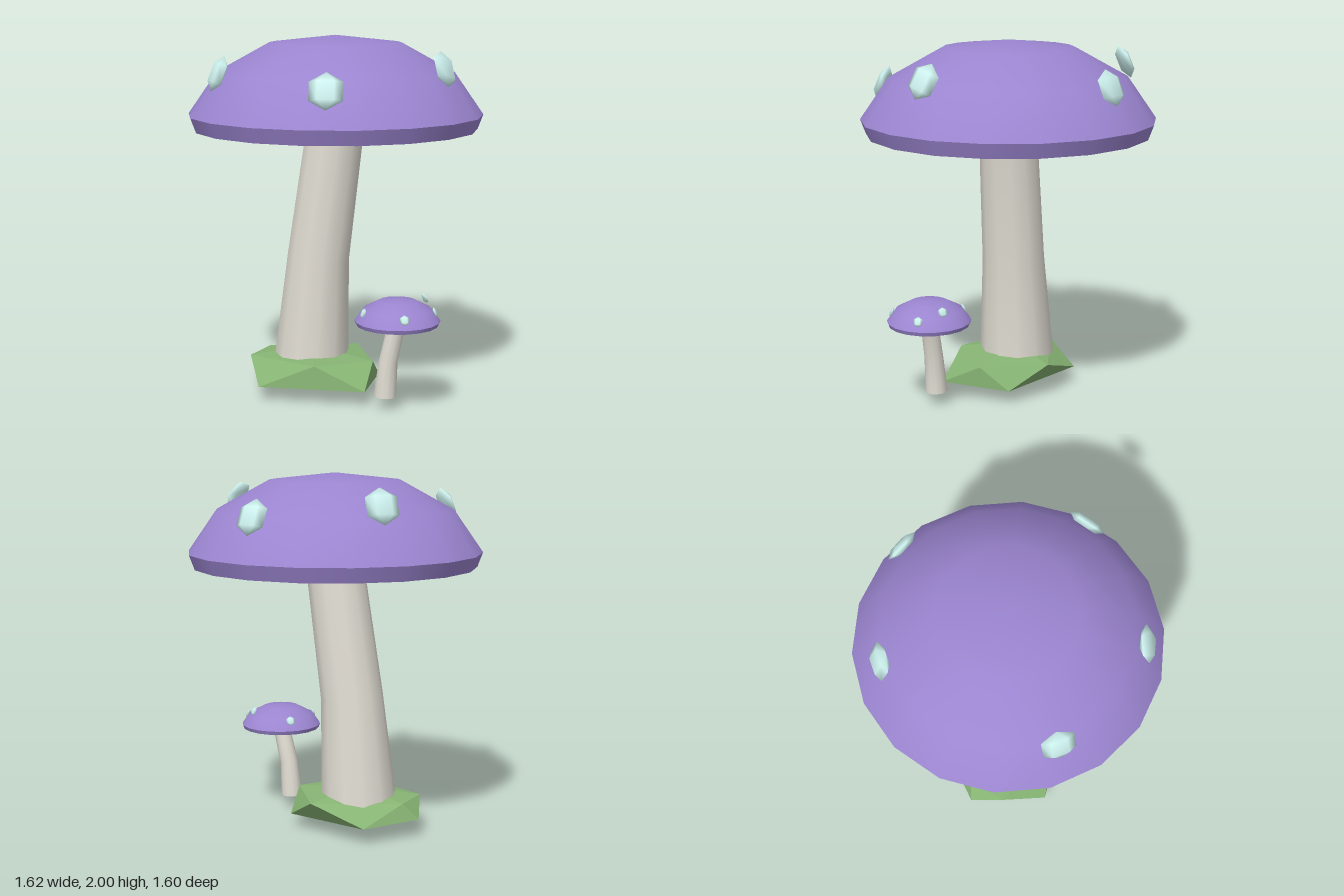
import * as THREE from 'three';

const mat = (color, options = {}) => new THREE.MeshStandardMaterial({ color, ...options });
const capMat = mat(0x9b85d0);
const gillMat = mat(0xaee2e6);
const stemMat = mat(0xe6e2d8, { side: THREE.DoubleSide });
const spotMat = mat(0xd0f5f2);
const grassMat = mat(0x86b373, { flatShading: true });

function add(parent, name, geometry, material) {
  const mesh = new THREE.Mesh(geometry, material);
  mesh.name = name;
  parent.add(mesh);
  return mesh;
}

// Open tapered stem whose rings follow a bent centre line
function stemGeometry(curve, rBottom, rTop) {
  const g = new THREE.CylinderGeometry(1, 1, 1, 12, 2, true);
  const pos = g.attributes.position, nor = g.attributes.normal;
  const p = new THREE.Vector3(), n = new THREE.Vector3(), m = new THREE.Matrix4();
  const Z = new THREE.Vector3(0, 0, 1);
  for (let i = 0; i < pos.count; i++) {
    const t = THREE.MathUtils.clamp(pos.getY(i) + 0.5, 0, 1);
    const r = rTop + (rBottom - rTop) * (1 - t) ** 2;
    const T = curve.getTangent(t).setZ(0).normalize();
    m.makeBasis(new THREE.Vector3().crossVectors(T, Z), T, Z);
    p.set(pos.getX(i) * r, 0, pos.getZ(i) * r).applyMatrix4(m).add(curve.getPoint(t));
    n.fromBufferAttribute(nor, i).applyMatrix4(m);
    pos.setXYZ(i, p.x, p.y, p.z);
    nor.setXYZ(i, n.x, n.y, n.z);
  }
  return g;
}

// Domed cap with a sharp rim and a flat underside; y = 0 is the underside
function buildCap(parent, name) {
  const cap = new THREE.Group();
  cap.name = name;
  const lathe = (pts) => new THREE.LatheGeometry(
    pts.map(([x, y]) => new THREE.Vector2(x, y)), 18, Math.PI / 2);
  const dome = lathe([[0.81, 0.08], [0.65, 0.31], [0.36, 0.47], [0, 0.51]]);
  const { position, normal } = dome.attributes;
  for (let i = 0; i < position.count; i++) {
    if (position.getY(i) > 0.5) normal.setXYZ(i, 0, 1, 0); // smooth crown
  }
  add(cap, 'dome', dome, capMat);
  add(cap, 'rim', lathe([[0.78, 0], [0.81, 0.08]]), capMat);
  add(cap, 'underside', new THREE.CircleGeometry(0.78, 18).rotateX(Math.PI / 2), gillMat);
  parent.add(cap);
  return cap;
}

// Flattened six-sided spots facing outwards and slightly up
function addSpots(parent, name, cx, cz, radius, list) {
  const g = new THREE.SphereGeometry(radius, 6, 3).scale(1, 1, 0.32);
  for (const [x, y, z, roll = 0] of list) {
    const spot = add(parent, name, g, spotMat);
    const out = new THREE.Vector3(x - cx, 0, z - cz).normalize();
    spot.position.set(x, y, z);
    spot.lookAt(x + out.x, y + 0.43, z + out.z);
    spot.rotateZ(roll);
  }
}

// Low-poly mound: two uneven rings of five between a bottom and a top point
function moundGeometry() {
  const low = [[-0.30, 0.085, 0.385], [0.28, 0.09, 0.27], [0.22, 0.08, -0.12],
    [-0.29, 0.095, -0.275], [-0.51, 0.105, -0.01]];
  const high = [[0, 0.215, 0.31], [0.245, 0.2, 0.05], [0.03, 0.2, -0.265],
    [-0.43, 0.195, -0.05], [-0.45, 0.195, 0.17]];
  const top = [-0.13, 0.25, 0.02], bottom = [-0.14, 0.003, 0.03];
  const v = [];
  for (let i = 0; i < 5; i++) {
    const j = (i + 1) % 5;
    v.push(...low[i], ...low[j], ...high[i]);
    v.push(...low[j], ...high[j], ...high[i]);
    v.push(...high[i], ...high[j], ...top);
    v.push(...low[j], ...low[i], ...bottom);
  }
  const g = new THREE.BufferGeometry();
  g.setAttribute('position', new THREE.Float32BufferAttribute(v, 3));
  g.computeVertexNormals();
  return g;
}

export function createModel() {
  const model = new THREE.Group();
  model.name = 'mushrooms';
  const V = (x, y, z) => new THREE.Vector3(x, y, z);

  add(model, 'grassMound', moundGeometry(), grassMat);

  // Large mushroom
  const big = new THREE.Group();
  big.name = 'largeMushroom';
  model.add(big);
  add(big, 'largeStem', stemGeometry(new THREE.QuadraticBezierCurve3(
    V(-0.145, 0.08, 0.02), V(-0.118, 0.74, 0.029), V(0, 1.485, 0.002)), 0.217, 0.16), stemMat);
  buildCap(big, 'largeCap').position.y = 1.49;
  addSpots(big, 'largeSpot', 0, 0, 0.1, [
    [0.22, 1.755, 0.67], [0.665, 1.84, 0.13, -0.26], [0.16, 1.80, -0.68],
    [-0.47, 1.86, -0.48], [-0.47, 1.81, 0.49]]);

  // Small mushroom
  const small = new THREE.Group();
  small.name = 'smallMushroom';
  model.add(small);
  add(small, 'smallStem', stemGeometry(new THREE.QuadraticBezierCurve3(
    V(0.388, 0.078, 0.246), V(0.395, 0.28, 0.25), V(0.453, 0.48, 0.245)), 0.062, 0.048), stemMat);
  const cap = buildCap(small, 'smallCap');
  cap.position.set(0.456, 0.485, 0.245);
  cap.scale.set(0.284, 0.27, 0.284);
  addSpots(small, 'smallSpot', 0.456, 0.245, 0.028, [
    [0.31, 0.56, 0.375], [0.558, 0.556, 0.42], [0.65, 0.557, 0.195],
    [0.56, 0.6, 0.095], [0.326, 0.56, 0.103]]);

  return model;
}
